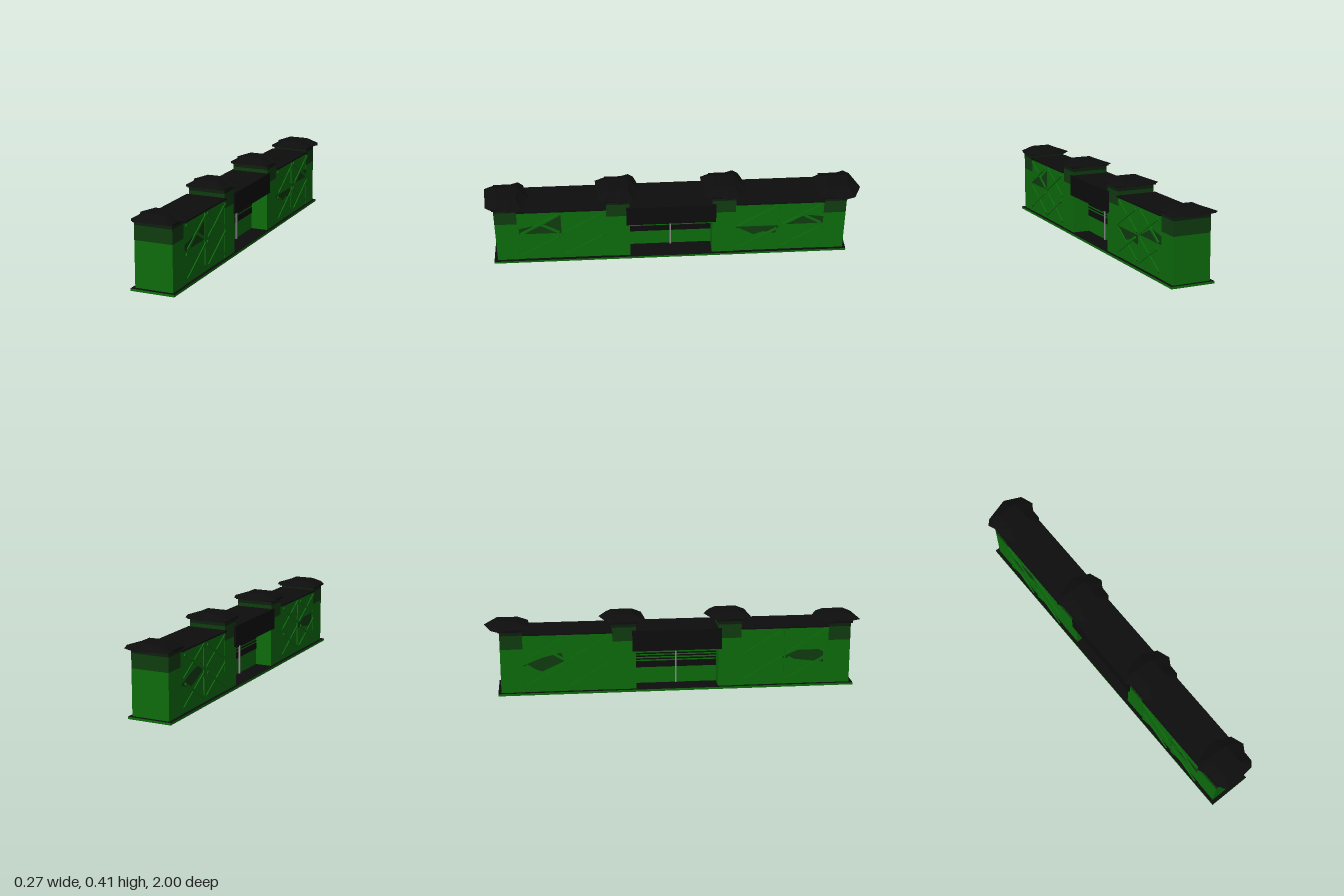
import * as THREE from 'three';

const mat = (name, color) => {
  const m = new THREE.MeshStandardMaterial({ color });
  m.name = name;
  return m;
};

export function createModel() {
  const group = new THREE.Group();
  const green = mat('green', 0x0d6c0d);
  const dark = mat('dark green', 0x103c10);
  const darker = mat('deep green', 0x0e200f);
  const black = mat('black', 0x0d0d0d);
  const grey = mat('grey', 0x8a8a8a);
  const cx = -0.006; // the body sits slightly to one side of the axis

  // Box given by its limits on each axis
  const box = (name, m, x0, x1, y0, y1, z0, z1) => {
    const mesh = new THREE.Mesh(new THREE.BoxGeometry(x1 - x0, y1 - y0, z1 - z0), m);
    mesh.position.set((x0 + x1) / 2, (y0 + y1) / 2, (z0 + z1) / 2);
    mesh.name = name;
    group.add(mesh);
    return mesh;
  };

  // Base slab: green rim, black top and underside
  box('base', [green, green, black, black, green, green], -0.123, 0.111, 0, 0.012, -0.934, 0.964);

  // Ragged hip roof: uneven eave outline lofted up to a flat rectangle
  const eave = [[0.134, -0.012], [0.11, -0.08], [0.02, -0.122], [-0.108, -0.083], [-0.135, -0.055],
    [-0.112, 0], [-0.108, 0.08], [-0.085, 0.122], [0.085, 0.108], [0.108, 0.08], [0.11, 0.025]];
  const clamp = THREE.MathUtils.clamp;
  const roofGeometry = () => {
    const pos = [];
    const top = ([x, z]) => [clamp(x, -0.055, 0.05), 0.029, clamp(z, -0.055, 0.055)];
    eave.forEach((p, i) => {
      const q = eave[(i + 1) % eave.length];
      const a = [p[0], 0, p[1]], b = [q[0], 0, q[1]], ta = top(p), tb = top(q);
      pos.push(...a, ...b, ...tb, ...a, ...tb, ...ta);
      pos.push(...ta, ...tb, 0, 0.029, 0);
      pos.push(...b, ...a, 0, 0.006, 0);
    });
    const g = new THREE.BufferGeometry();
    g.setAttribute('position', new THREE.Float32BufferAttribute(pos, 3));
    g.computeVertexNormals();
    return g;
  };
  const roofGeo = roofGeometry();

  // Four towers: z limits, roof centre, extra height
  const towers = [[0.827, 0.945, 0.878, 0], [0.233, 0.356, 0.289, 0.028],
    [-0.33, -0.206, -0.273, 0.028], [-0.918, -0.8, -0.878, 0]];
  for (const [z0, z1, zr, up] of towers) {
    box('tower', green, -0.106, 0.096, 0.012, 0.25 + up, z0, z1);
    box('towerBand', dark, -0.106, 0.096, 0.25 + up, 0.325 + up, z0, z1);
    box('towerTop', darker, -0.106, 0.096, 0.325 + up, 0.345 + up, z0, z1);
    box('towerCollar', black, -0.117, 0.105, 0.345 + up, 0.356 + up, z0 - 0.008, z1 + 0.008);
    const roof = new THREE.Mesh(roofGeo, black);
    roof.position.set(0, 0.355 + up, zr);
    roof.name = 'towerRoof';
    group.add(roof);
  }

  // Diagonal brace across a rectangle in the side plane
  const brace = (x, y0, y1, z0, z1) => {
    const dy = y1 - y0, dz = z1 - z0;
    const bar = new THREE.Mesh(new THREE.BoxGeometry(0.005, 0.013, Math.hypot(dy, dz)), green);
    bar.position.set(x, (y0 + y1) / 2, (z0 + z1) / 2);
    bar.rotation.x = -Math.atan2(dy, dz);
    bar.name = 'crossBrace';
    group.add(bar);
  };

  // Two long halls with crossed braces on both sides
  for (const [z0, z1] of [[0.356, 0.827], [-0.8, -0.33]]) {
    box('hallWall', green, -0.104, 0.094, 0.012, 0.325, z0, z1);
    box('hallRoof', black, -0.117, 0.105, 0.325, 0.333, z0, z1);
    const mid = (z0 + z1) / 2;
    for (const s of [1, -1]) {
      const px = cx + s * 0.102;
      box('middlePost', green, px - 0.003, px + 0.003, 0.04, 0.32, mid - 0.004, mid + 0.004);
      for (const [a, b] of [[z0 + 0.015, mid - 0.015], [mid + 0.015, z1 - 0.015]]) {
        for (const [y0, y1] of [[0.044, 0.166], [0.19, 0.311]]) {
          brace(cx + s * 0.108, y0, y1, a, b);
          brace(cx + s * 0.1145, y1, y0, a, b);
        }
      }
    }
  }

  // Dark broken openings on the hall walls, drawn as (z, y) outlines
  const opening = (side, points) => {
    const shape = new THREE.Shape(points.map(([z, y]) => new THREE.Vector2(-z, y)));
    const mesh = new THREE.Mesh(new THREE.ExtrudeGeometry(shape, { depth: 0.002, bevelEnabled: false }), dark);
    mesh.rotation.y = Math.PI / 2;
    mesh.position.x = side > 0 ? 0.094 : -0.106;
    mesh.name = 'wallOpening';
    group.add(mesh);
  };
  opening(1, [[0.82, 0.182], [0.595, 0.182], [0.595, 0.3], [0.68, 0.245], [0.82, 0.215]]);
  opening(1, [[-0.33, 0.175], [-0.56, 0.175], [-0.545, 0.125], [-0.48, 0.14], [-0.42, 0.12], [-0.36, 0.15]]);
  opening(1, [[-0.575, 0.182], [-0.8, 0.182], [-0.8, 0.225], [-0.7, 0.24]]);
  opening(-1, [[-0.8, 0.16], [-0.7, 0.125], [-0.58, 0.18], [-0.6, 0.225], [-0.7, 0.2]]);
  opening(-1, [[0.57, 0.16], [0.8, 0.13], [0.8, 0.2], [0.66, 0.2]]);

  // Central gate: deep canopy, recessed thin wall and slats on both faces
  box('gateCanopy', black, -0.117, 0.105, 0.222, 0.334, -0.225, 0.25);
  box('gateWall', green, cx - 0.008, cx + 0.008, 0.012, 0.222, -0.206, 0.233);
  for (const s of [1, -1]) {
    const x = cx + s * 0.009;
    for (const [y, h] of [[0.118, 0.034], [0.147, 0.007], [0.163, 0.007], [0.178, 0.007], [0.194, 0.007], [0.211, 0.007]]) {
      box('gateSlat', black, x - 0.002, x + 0.002, y - h / 2, y + h / 2, -0.206, 0.233);
    }
    const post = box('gatePost', grey, x - 0.004, x + 0.004, 0.012, 0.222, 0.01, 0.018);
    post.position.x = cx + s * 0.014;
  }
  return group;
}
